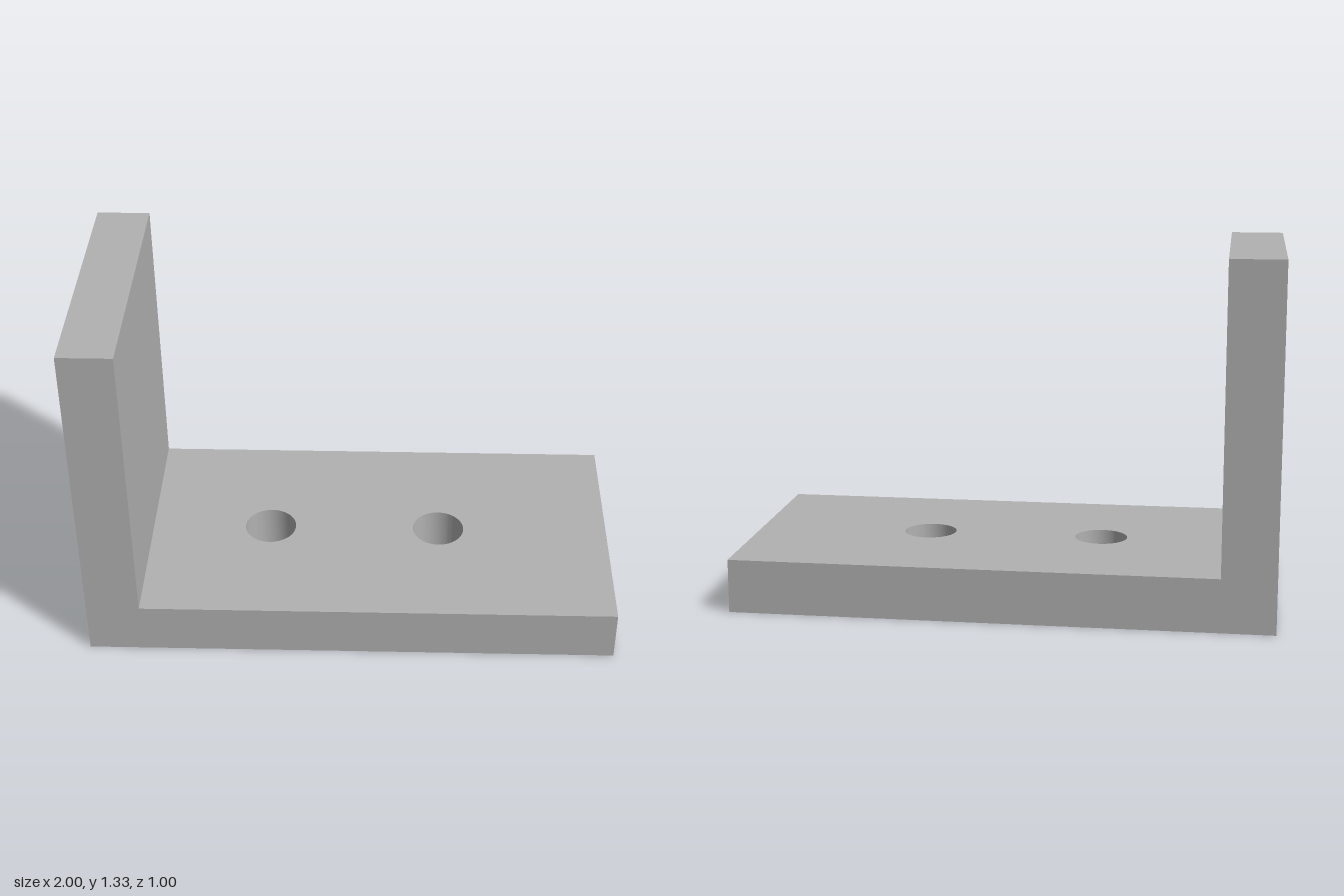
import * as THREE from 'three';
import { toCreasedNormals } from 'three/addons/utils/BufferGeometryUtils.js';

const LENGTH = 2, DEPTH = 1, HEIGHT = 4 / 3, THICK = 0.2;
const HOLE_X = 1 / 3, HOLE_RADIUS = 0.1;

export function createModel() {
  const group = new THREE.Group();
  group.name = 'angleBracket';
  const grey = new THREE.MeshStandardMaterial({ color: 0xb2b2b2 });
  grey.name = 'grey';

  // Base plate with two round through holes
  const x = LENGTH / 2, z = DEPTH / 2;
  const outline = new THREE.Shape([
    new THREE.Vector2(-x, -z), new THREE.Vector2(x, -z),
    new THREE.Vector2(x, z), new THREE.Vector2(-x, z),
  ]);
  for (const side of [-1, 1]) {
    outline.holes.push(new THREE.Path().absarc(side * HOLE_X, 0, HOLE_RADIUS, 0, Math.PI * 2, true));
  }
  const plate = new THREE.ExtrudeGeometry(outline, { depth: THICK, bevelEnabled: false, curveSegments: 32 });
  plate.rotateX(-Math.PI / 2);
  const base = new THREE.Mesh(toCreasedNormals(plate, Math.PI / 6), grey);
  base.name = 'basePlate';
  group.add(base);

  // Upright wall standing on the right end of the base
  const wall = new THREE.Mesh(new THREE.BoxGeometry(THICK, HEIGHT - THICK, DEPTH), grey);
  wall.name = 'uprightPlate';
  wall.position.set(-x + THICK / 2, (HEIGHT + THICK) / 2, 0);
  group.add(wall);

  return group;
}
